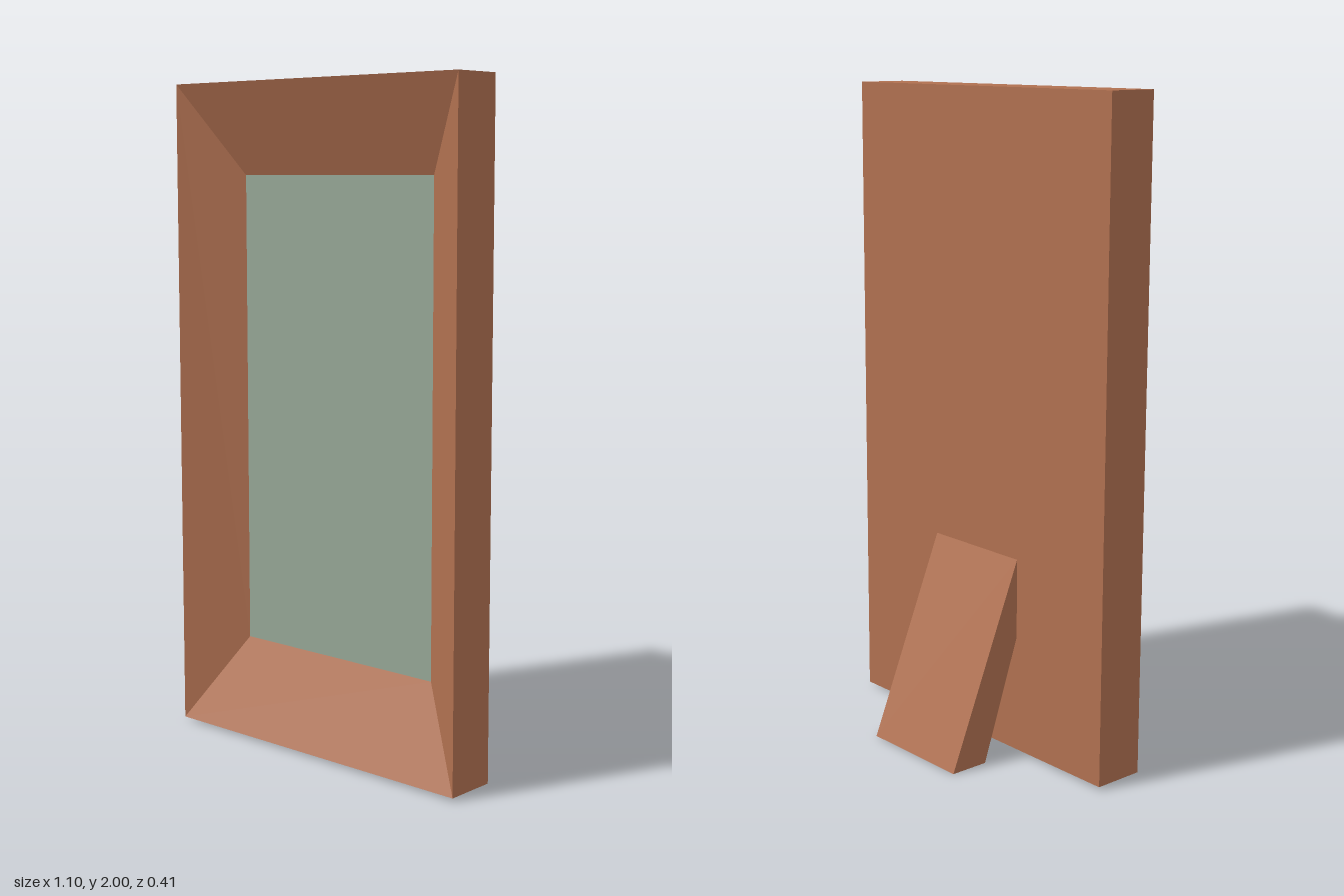
import * as THREE from 'three';

// Rectangle cross-section, counter-clockwise seen from the front
const ring = (x, y0, y1, z) => [[-x, y0, z], [x, y0, z], [x, y1, z], [-x, y1, z]];

// Flat-sided skin through a list of rings, with the first ring capped
function loft(rings) {
  const pos = [];
  const quad = (a, b, c, d) => pos.push(...a, ...b, ...c, ...a, ...c, ...d);
  const [a, b, c, d] = rings[0];
  quad(d, c, b, a);
  for (let r = 0; r < rings.length - 1; r++) {
    for (let i = 0; i < 4; i++) {
      const j = (i + 1) % 4;
      quad(rings[r][i], rings[r][j], rings[r + 1][j], rings[r + 1][i]);
    }
  }
  const geometry = new THREE.BufferGeometry();
  geometry.setAttribute('position', new THREE.Float32BufferAttribute(pos, 3));
  geometry.computeVertexNormals();
  return geometry;
}

export function createModel() {
  const wood = new THREE.MeshStandardMaterial({ name: 'brown wood', color: 0xb07050 });
  const glass = new THREE.MeshStandardMaterial({ name: 'grey green glass', color: 0x95a595 });
  const group = new THREE.Group();
  group.name = 'pictureFrame';

  const add = (name, geometry, material) => {
    const mesh = new THREE.Mesh(geometry, material);
    mesh.name = name;
    group.add(mesh);
    return mesh;
  };

  // Frame: back panel, outer sides and bevel sloping in to the pane
  add('frame', loft([
    ring(0.548, 0.01, 2, 0.045),
    ring(0.548, 0.01, 2, 0.205),
    ring(0.37, 0.283, 1.727, 0.086),
  ]), wood);

  // Pane closing the opening
  add('pane', new THREE.PlaneGeometry(0.74, 1.444), glass).position.set(0, 1.005, 0.086);

  // Slanted rear support: side profile (x = -z) extruded across the width
  const profile = new THREE.Shape([
    [-0.045, 0.37], [0.08, 0], [0.205, 0], [-0.045, 0.615],
  ].map(([x, y]) => new THREE.Vector2(x, y)));
  const width = 0.374;
  const stand = new THREE.ExtrudeGeometry(profile, { depth: width, bevelEnabled: false });
  stand.translate(0, 0, -width / 2).rotateY(Math.PI / 2);
  add('stand', stand, wood);

  return group;
}
